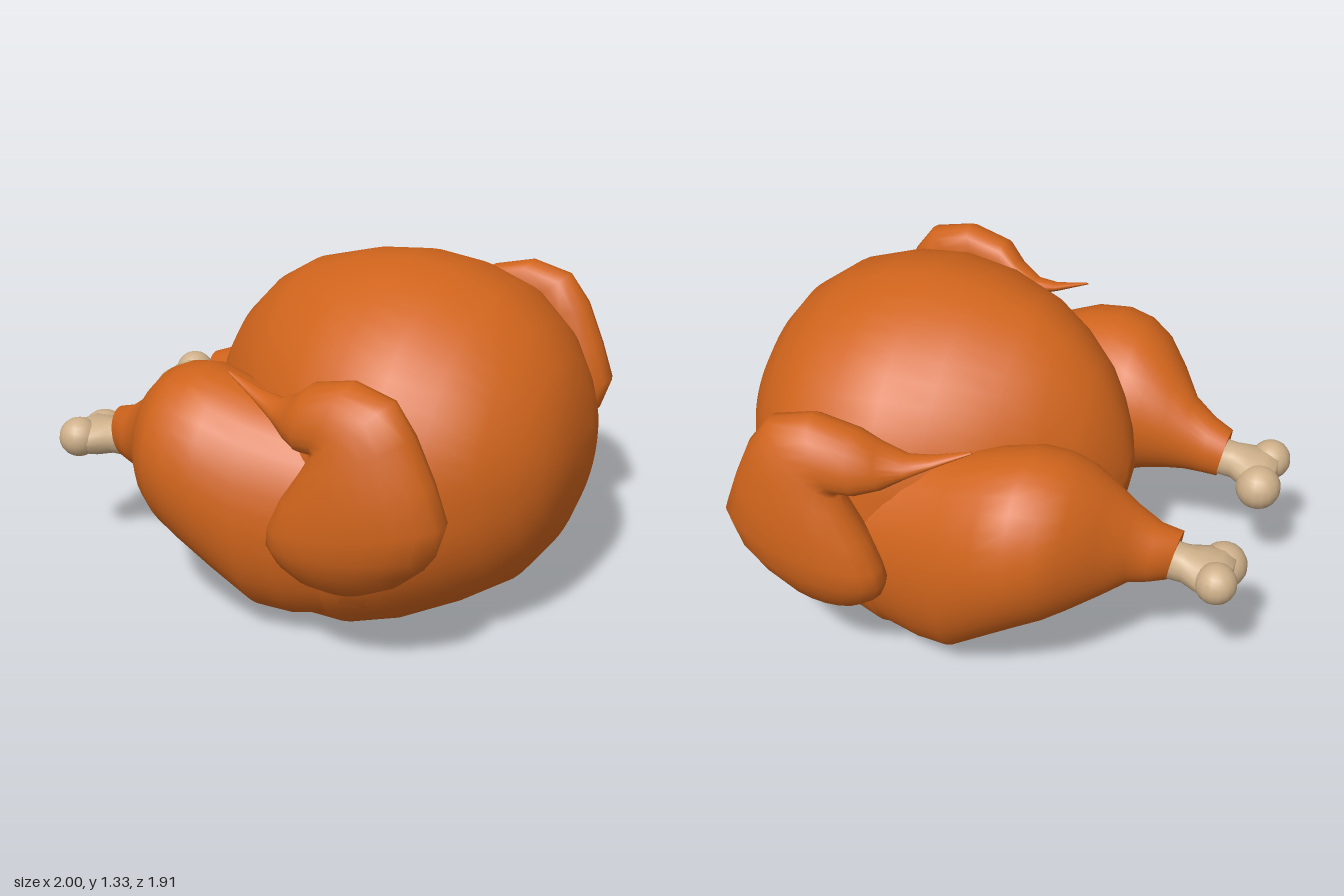
import * as THREE from 'three';

// Skin a closed surface over equally sized rings of points, with a fan at each end
function loft(rings) {
  const n = rings[0].length, pos = [], idx = [];
  rings.forEach(r => r.forEach(p => pos.push(p.x, p.y, p.z)));
  for (let i = 0; i < rings.length - 1; i++) {
    for (let j = 0; j < n; j++) {
      const k = (j + 1) % n, a = i * n + j, b = i * n + k, c = a + n, d = b + n;
      idx.push(a, b, c, b, d, c);
    }
  }
  [0, rings.length - 1].forEach((i, end) => {
    const c = new THREE.Vector3();
    rings[i].forEach(p => c.addScaledVector(p, 1 / n));
    const m = pos.length / 3;
    pos.push(c.x, c.y, c.z);
    for (let j = 0; j < n; j++) {
      const a = i * n + j, b = i * n + (j + 1) % n;
      if (end) idx.push(a, b, m); else idx.push(b, a, m);
    }
  });
  // Turn the faces outwards if the enclosed volume is negative
  let volume = 0;
  const v = i => new THREE.Vector3(pos[3 * i], pos[3 * i + 1], pos[3 * i + 2]);
  for (let t = 0; t < idx.length; t += 3) volume += v(idx[t]).dot(v(idx[t + 1]).cross(v(idx[t + 2])));
  if (volume < 0) idx.reverse();
  const g = new THREE.BufferGeometry();
  g.setAttribute('position', new THREE.Float32BufferAttribute(pos, 3));
  g.setIndex(idx);
  g.computeVertexNormals();
  return g;
}

// One ring of n points from a function of (cos, sin)
function ring(n, f) {
  return Array.from({ length: n }, (_, j) => {
    const t = (j / n) * Math.PI * 2;
    return new THREE.Vector3(...f(Math.cos(t), Math.sin(t)));
  });
}

// Elliptical rings along x: [x, y, z, radiusY, radiusZ, slant]
const ellipses = (rows, side, n) => loft(rows.map(([x, y, z, ry, rz, slant = 0]) =>
  ring(n, (c, s) => [x - slant * s, y + ry * s, side * (z + rz * c)])));

// Body stations: [x, top, bottom, half width]
const BODY = [
  [-0.47, 0.68, 0.58, 0.05], [-0.44, 0.82, 0.45, 0.13], [-0.39, 0.94, 0.33, 0.22],
  [-0.33, 1.04, 0.25, 0.30], [-0.22, 1.16, 0.14, 0.40], [-0.08, 1.25, 0.02, 0.52],
  [0.13, 1.31, 0.01, 0.64], [0.32, 1.33, 0.015, 0.69], [0.50, 1.31, 0.035, 0.69],
  [0.68, 1.25, 0.09, 0.64], [0.83, 1.14, 0.18, 0.51], [0.92, 1.02, 0.30, 0.38],
  [0.97, 0.92, 0.42, 0.28], [1.00, 0.78, 0.57, 0.17],
];

// Drumstick, from the slanted cuff to a long thigh that melts into the flank
const LEG = [
  [-0.745, 0.53, 0.35, 0.085, 0.07, 0.02], [-0.75, 0.535, 0.35, 0.10, 0.082, 0.02],
  [-0.68, 0.545, 0.37, 0.118, 0.10, 0.01], [-0.60, 0.575, 0.385, 0.155, 0.125],
  [-0.52, 0.605, 0.435, 0.215, 0.195], [-0.43, 0.63, 0.48, 0.275, 0.265],
  [-0.35, 0.63, 0.505, 0.315, 0.305], [-0.25, 0.615, 0.525, 0.35, 0.315],
  [-0.13, 0.57, 0.54, 0.38, 0.30], [0.02, 0.49, 0.53, 0.41, 0.275],
  [0.15, 0.465, 0.505, 0.40, 0.265], [0.30, 0.46, 0.48, 0.37, 0.255],
  [0.45, 0.46, 0.46, 0.33, 0.245], [0.62, 0.46, 0.42, 0.24, 0.20],
];

const BONE = [
  [-0.70, 0.52, 0.355, 0.075, 0.074], [-0.79, 0.51, 0.352, 0.07, 0.074],
  [-0.86, 0.495, 0.345, 0.074, 0.115], [-0.92, 0.49, 0.345, 0.072, 0.13],
  [-0.965, 0.49, 0.345, 0.05, 0.09],
];

// Folded wing: [inner x, inner y, outer x, outer y, z, half thickness]
const WING = [
  [-0.08, 1.01, -0.07, 1.015, 0.64, 0.005], [0.05, 0.945, 0.07, 0.975, 0.665, 0.03],
  [0.14, 0.90, 0.16, 0.97, 0.69, 0.05], [0.22, 0.86, 0.25, 1.02, 0.725, 0.075],
  [0.30, 0.85, 0.32, 1.08, 0.765, 0.10], [0.36, 0.855, 0.48, 1.12, 0.78, 0.105],
  [0.355, 0.845, 0.64, 1.08, 0.79, 0.11], [0.33, 0.80, 0.72, 0.97, 0.80, 0.125],
  [0.25, 0.68, 0.79, 0.81, 0.80, 0.145], [0.20, 0.57, 0.84, 0.67, 0.80, 0.15],
  [0.19, 0.50, 0.80, 0.55, 0.79, 0.15], [0.22, 0.43, 0.75, 0.48, 0.775, 0.135],
  [0.29, 0.37, 0.66, 0.40, 0.765, 0.10], [0.38, 0.335, 0.54, 0.34, 0.755, 0.05],
];

// Domed above, squarer below with a shallow groove, rounding off towards the far end
function bodyGeometry() {
  return loft(BODY.map(([x, top, bottom, w]) => {
    const yc = (top + bottom) / 2, h = (top - bottom) / 2, k = w / 0.69;
    const widen = 0.12 * Math.exp(-(((x - 0.1) / 0.4) ** 2));
    const round = THREE.MathUtils.smoothstep(x, 0.2, 0.85);
    const power = 0.667 + 0.25 * round, lobe = 0.055 * k * (1 - round);
    return ring(48, (c, s) => {
      const sign = Math.sign(c), a = Math.abs(c), u = -s;
      if (s >= 0) return [x, yc + h * s, w * sign * a ** 1.1];
      const z = w * sign * a ** power * (1 + widen * Math.sin(Math.min(1, u * 2) * Math.PI / 2));
      const groove = 1.6 * lobe * Math.max(0, 1 - (z / 0.4) ** 2) * u;
      return [x, yc - (h + lobe) * u ** power + groove, z];
    });
  }));
}

function wingGeometry(side) {
  return loft(WING.map(([ax, ay, bx, by, z, rz]) => ring(20, (c, s) => [
    (ax + bx) / 2 + c * (bx - ax) / 2,
    (ay + by) / 2 + c * (by - ay) / 2,
    side * (z + rz * s - 0.25 * rz * c),
  ])));
}

export function createModel() {
  const skin = new THREE.MeshStandardMaterial({ color: 0xd0641c });
  skin.name = 'roastedSkin';
  const bone = new THREE.MeshStandardMaterial({ color: 0xceb08a });
  bone.name = 'bone';

  const model = new THREE.Group();
  model.name = 'roastBird';
  const add = (name, geometry, material) => {
    const mesh = new THREE.Mesh(geometry, material);
    mesh.name = name;
    model.add(mesh);
    return mesh;
  };

  add('body', bodyGeometry(), skin);

  for (const side of [1, -1]) {
    const label = side > 0 ? 'front' : 'back';
    add(label + 'Drumstick', ellipses(LEG, side, 32), skin);
    add(label + 'Wing', wingGeometry(side), skin);
    add(label + 'BoneShaft', ellipses(BONE, side, 16), bone);
    // Two knuckles at the end of the bone
    for (const [x, y, z, r] of [[-0.912, 0.47, 0.262, 0.088], [-0.922, 0.502, 0.418, 0.078]]) {
      const knob = add(label + 'BoneKnuckle', new THREE.SphereGeometry(r, 16, 12), bone);
      knob.position.set(x, y, side * z);
    }
  }
  return model;
}
